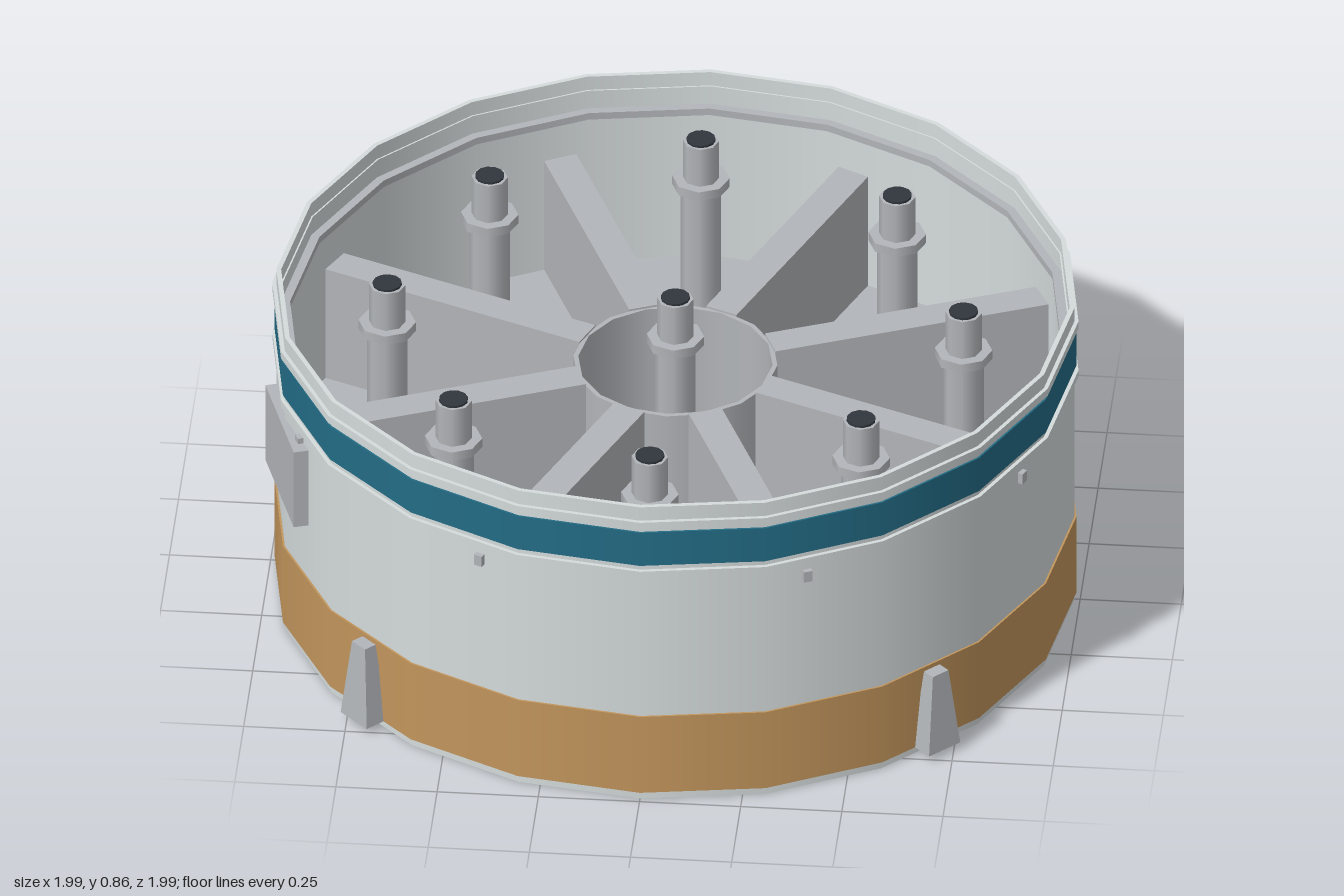
import * as THREE from 'three';
import { mergeGeometries } from 'three/addons/utils/BufferGeometryUtils.js';

const mat = (name, color) => {
  const m = new THREE.MeshStandardMaterial({ color });
  m.name = name;
  return m;
};

export function createModel() {
  const model = new THREE.Group();
  model.name = 'drum';
  const shell = mat('pale shell', 0xd5dbdb);
  const grey = mat('structure grey', 0xb2b5b9);
  const gold = mat('gold', 0xc2955c);
  const teal = mat('teal', 0x236c86);
  const dark = mat('dark tip', 0x30363d);
  const SIDES = 20, FLOOR = 0.33;

  const add = (parent, name, geo, material, x = 0, y = 0, z = 0) => {
    const mesh = new THREE.Mesh(geo, material);
    mesh.name = name;
    mesh.position.set(x, y, z);
    parent.add(mesh);
    return mesh;
  };
  // Revolved profile, smooth around and sharp at each profile corner
  const turned = (pts, sides = SIDES) => mergeGeometries(pts.slice(1).map((p, i) =>
    new THREE.LatheGeometry([new THREE.Vector2(...pts[i]), new THREE.Vector2(...p)], sides)));
  // Closed ring with a rectangular section
  const ring = (rIn, rOut, y0, y1, sides) =>
    turned([[rIn, y0], [rOut, y0], [rOut, y1], [rIn, y1], [rIn, y0]], sides);
  // Group turned so its local +z points outward at the given angle
  const radial = (name, angle) => {
    const g = new THREE.Group();
    g.name = name;
    g.rotation.y = angle;
    model.add(g);
    return g;
  };

  // Outer wall, stepped inside near both rims
  add(model, 'outerWall', turned([
    [0.974, 0], [0.986, 0], [0.986, 0.857], [0.974, 0.857], [0.974, 0.76],
    [0.955, 0.76], [0.955, 0.13], [0.974, 0.13], [0.974, 0]]), shell);
  add(model, 'upperLedge', ring(0.952, 0.976, 0.745, 0.764), grey);
  add(model, 'lowerLedge', ring(0.952, 0.976, 0.126, 0.145), grey);

  // Painted bands and raised hoops
  add(model, 'goldBand', ring(0.98, 0.991, 0.02, 0.243), gold);
  add(model, 'tealBand', ring(0.98, 0.991, 0.688, 0.785), teal);
  add(model, 'lowerHoop', ring(0.97, 0.996, 0.655, 0.674), shell);
  add(model, 'upperHoop', ring(0.97, 0.996, 0.797, 0.818), shell);

  // Floor with a gold underside
  add(model, 'floor', new THREE.CylinderGeometry(0.96, 0.96, 0.02, SIDES), grey, 0, FLOOR - 0.01);
  add(model, 'underside', new THREE.CylinderGeometry(0.96, 0.96, 0.009, SIDES), gold, 0, 0.3095);

  // Central hub and eight ribs
  add(model, 'hub', ring(0.24, 0.252, FLOOR, 0.645, 16), grey);
  for (let i = 0; i < 8; i++) {
    const g = radial('ribMount', (i + 0.5) * Math.PI / 4);
    add(g, 'rib', new THREE.BoxGeometry(0.085, 0.32, 0.715), grey, 0, FLOOR + 0.16, 0.602);
  }

  // Posts with collars and dark tips, each with a foot pad below the floor
  const postGeo = turned([
    [0.05, FLOOR], [0.05, 0.695], [0.071, 0.695], [0.071, 0.72], [0.045, 0.72],
    [0.045, 0.828], [0, 0.828]], 8);
  const tipGeo = new THREE.CylinderGeometry(0.036, 0.036, 0.008, 12);
  const padGeo = new THREE.CylinderGeometry(0.16, 0.16, 0.025, 20);
  for (let i = 0; i < 9; i++) {
    const r = i < 8 ? 0.712 : 0;
    const g = radial('postMount', i * Math.PI / 4);
    add(g, 'post', postGeo, grey, 0, 0, r);
    add(g, 'postTip', tipGeo, dark, 0, 0.83, r);
    add(g, 'footPad', padGeo, grey, 0, 0.294, r);
  }

  // Four tapered brackets around the base
  const bracketGeo = new THREE.BoxGeometry(1, 0.215, 1);
  const p = bracketGeo.attributes.position;
  for (let i = 0; i < p.count; i++) {
    const top = p.getY(i) > 0;
    p.setX(i, p.getX(i) * (top ? 0.05 : 0.1));
    p.setZ(i, p.getZ(i) * (top ? 0.034 : 0.065));
  }
  bracketGeo.computeVertexNormals();
  for (let i = 0; i < 4; i++) {
    const g = radial('bracketMount', (i + 0.5) * Math.PI / 2);
    add(g, 'bracket', bracketGeo, grey, 0, 0.1275, 1.0);
  }

  // Small studs below the lower hoop
  for (let i = 0; i < 4; i++) {
    for (const s of [-1, 1]) {
      const g = radial('studMount', i * Math.PI / 2 + s * 0.426);
      add(g, 'stud', new THREE.BoxGeometry(0.022, 0.03, 0.022), grey, 0, 0.62, 0.977);
    }
  }

  // Side panel on the model's right, turned a little to the front
  const panel = radial('panelMount', -Math.PI / 2 + Math.PI / 10);
  add(panel, 'sidePanel', new THREE.BoxGeometry(0.31, 0.22, 0.045), grey, 0, 0.51, 0.977);

  return model;
}
